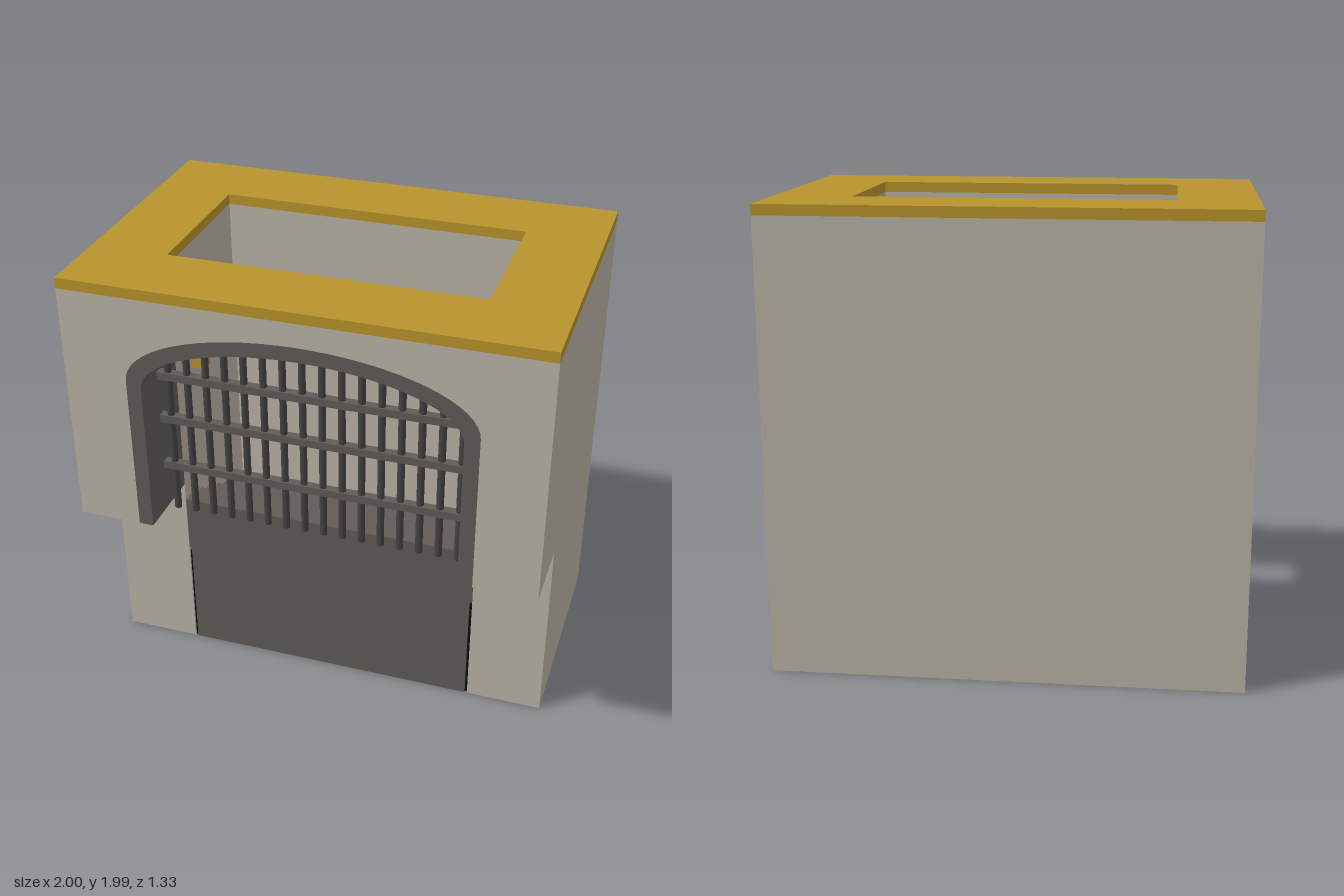
import * as THREE from 'three';

const material = (name, color) => {
  const m = new THREE.MeshStandardMaterial({ color });
  m.name = name;
  return m;
};

export function createModel() {
  const root = new THREE.Group();
  root.name = 'gatehouse';
  const stone = material('pale stone', 0xbab4a7);
  const gold = material('gold', 0xb9942c);
  const grey = material('dark stone', 0x5f5b58);
  const iron = material('iron', 0x434345);
  const navy = material('night blue', 0x070918);

  const add = (name, geometry, mat) => {
    const mesh = new THREE.Mesh(geometry, mat);
    mesh.name = name;
    root.add(mesh);
    return mesh;
  };
  // Box given by its minimum and maximum on each axis
  const box = (name, mat, x0, x1, y0, y1, z0, z1) => {
    const mesh = add(name, new THREE.BoxGeometry(x1 - x0, y1 - y0, z1 - z0), mat);
    mesh.position.set((x0 + x1) / 2, (y0 + y1) / 2, (z0 + z1) / 2);
    return mesh;
  };
  const extrude = (points, depth) => new THREE.ExtrudeGeometry(
    new THREE.Shape(points), { depth, bevelEnabled: false });

  const HALF = 2 / 3, THIRD = 1 / 3;
  const BASE = 0.87, ROOF = 1.94, TOP = 1.985;

  // Flattened arch outline from its left foot to its right foot
  const arch = (rx, spring, rise) => {
    const pts = [new THREE.Vector2(-rx, BASE)];
    for (let i = 0; i <= 32; i++) {
      const a = Math.PI * (1 - i / 32);
      pts.push(new THREE.Vector2(rx * Math.cos(a), spring + rise * Math.sin(a)));
    }
    pts.push(new THREE.Vector2(rx, BASE));
    return pts;
  };
  const outer = arch(0.73, 1.57, 0.268);
  const inner = arch(HALF, 1.54, 0.235);

  // U-shaped shaft walls, drawn in plan and raised
  const plan = [[-1, -THIRD], [-HALF, -THIRD], [-HALF, THIRD], [HALF, THIRD],
    [HALF, -THIRD], [1, -THIRD], [1, HALF], [-1, HALF]].map(p => new THREE.Vector2(...p));
  add('shaftWalls', extrude(plan, ROOF).rotateX(-Math.PI / 2), stone);

  // Overhanging front wall with the gateway cut out
  const v = (x, y) => new THREE.Vector2(x, y);
  add('frontWall', extrude([v(-1, BASE), ...outer, v(1, BASE), v(1, ROOF), v(-1, ROOF)], THIRD)
    .translate(0, 0, THIRD), stone);
  add('archFrame', extrude([...outer, ...inner.slice().reverse()], THIRD)
    .translate(0, 0, THIRD), grey);

  // Roof rim around the open shaft
  const rim = new THREE.Shape([v(-1, -HALF), v(1, -HALF), v(1, HALF), v(-1, HALF)]);
  rim.holes.push(new THREE.Path([v(-HALF, -THIRD), v(-HALF, THIRD), v(HALF, THIRD), v(HALF, -THIRD)]));
  add('roofRim', new THREE.ExtrudeGeometry(rim, { depth: TOP - ROOF, bevelEnabled: false })
    .rotateX(-Math.PI / 2).translate(0, ROOF, 0), gold);

  // Vertical portcullis bars, trimmed to the arch
  for (let i = 0; i < 16; i++) {
    const x = -0.622 + i / 12;
    const top = 1.54 + 0.235 * Math.sqrt(1 - (x / HALF) ** 2);
    const bar = add('portcullisBar', new THREE.CylinderGeometry(0.016, 0.016, top - BASE, 8), iron);
    bar.position.set(x, (top + BASE) / 2, 0.5);
  }
  // Cross rails
  for (const y of [1.09, 1.32, 1.525]) {
    box('portcullisRail', grey, -0.665, 0.665, y - 0.017, y + 0.017, 0.482, 0.52);
  }

  // Lamps on the inner side walls
  for (const s of [-1, 1]) {
    box('wallLamp', gold, s * 0.634 - 0.032, s * 0.634 + 0.032, 1.385, 1.44, 0.12, 0.18);
  }

  // Dark pit core, then steps falling from the front to the back
  box('pitCore', navy, -0.664, 0.664, 0.004, 0.5, -0.332, 0.328);
  box('stairBase', grey, -0.655, 0.655, 0, 0.52, -0.25, THIRD);
  for (let i = 0; i < 7; i++) {
    const w = i < 3 ? 0.665 : 0.655 - (i - 3) * 0.002;
    const z = THIRD - i / 12;
    box('stairStep', grey, -w, w, 0.52, 0.785 - i * 0.04, z - 1 / 12, z);
  }
  return root;
}
